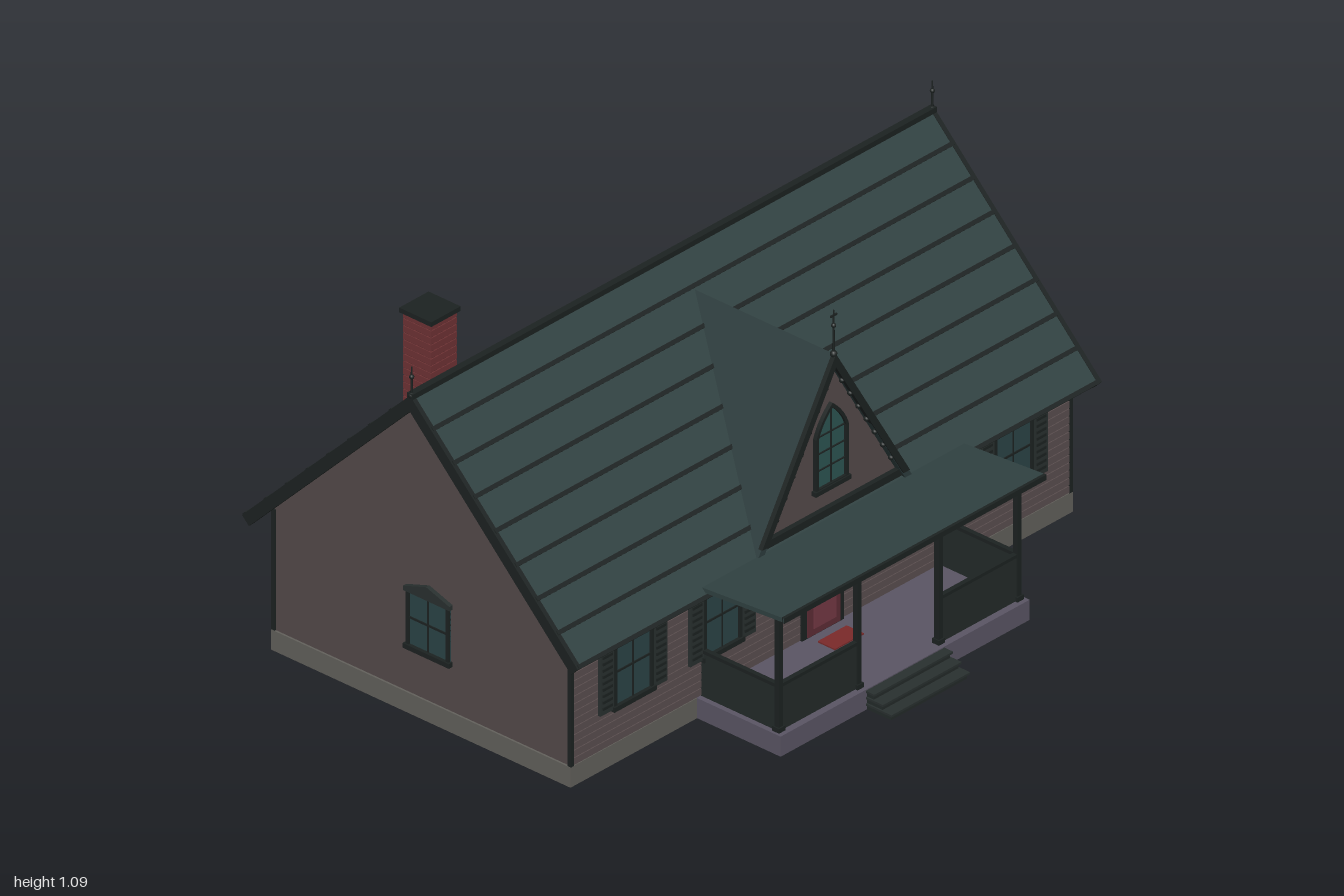
import * as THREE from 'three';

const mat = (color, extra = {}) => new THREE.MeshStandardMaterial({ color, ...extra });
const M = {
  roof: mat(0x304141), dormerRoof: mat(0x2c3c3d), trim: mat(0x1c2221), wall: mat(0x544a4a),
  siding: mat(0x5a4e4f), stone: mat(0x62605b), porch: mat(0x5a5564), glass: mat(0x2b4346),
  gothicGlass: mat(0x2c5452), shutter: mat(0x29302f), door: mat(0x5e2c36), panel: mat(0x743844),
  brick: mat(0x6e3234), mortar: mat(0x4a2426), brass: mat(0x8a7040), rail: mat(0x232a29), mat: mat(0x7a2a2a),
};

function add(parent, name, geometry, material, x = 0, y = 0, z = 0) {
  const m = new THREE.Mesh(geometry, material);
  m.name = name;
  m.position.set(x, y, z);
  parent.add(m);
  return m;
}

// Box given by its min and max on each axis
function box(parent, name, material, x0, x1, y0, y1, z0, z1) {
  return add(parent, name, new THREE.BoxGeometry(x1 - x0, y1 - y0, z1 - z0), material,
    (x0 + x1) / 2, (y0 + y1) / 2, (z0 + z1) / 2);
}

const poly = pts => new THREE.Shape(pts.map(p => new THREE.Vector2(...p)));
const extrude = (shape, depth) =>
  new THREE.ExtrudeGeometry(shape, { depth, bevelEnabled: false, curveSegments: 10 });

function group(parent, name, x = 0, y = 0, z = 0, ry = 0) {
  const g = new THREE.Group();
  g.name = name;
  g.position.set(x, y, z);
  g.rotation.y = ry;
  parent.add(g);
  return g;
}

const RIDGE_Z = -0.16, ROOF_TOP = 0.98;

// Profile drawn in (-z, y), swept along x over [-half, half]
function sweepX(pts, half) {
  return extrude(poly(pts), half * 2).translate(0, 0, -half).rotateY(Math.PI / 2);
}

function roofProfile(drop, reach, thick) {
  const c = -RIDGE_Z, t = ROOF_TOP + drop, k = thick / Math.SQRT2;
  return [[c, t], [c - reach, t - reach], [c - reach + k, t - reach - k], [c, t - 2 * k],
    [c + reach - k, t - reach - k], [c + reach, t - reach]];
}

// Window standing on its sill, facing +z
function addWindow(parent, name, x, y, z, ry, w, h, { shutters = false, hood = false } = {}) {
  const g = group(parent, name, x, y, z, ry), a = w / 2, f = 0.01;
  box(g, 'glass', M.glass, -a, a, 0, h, -0.005, 0.004);
  for (const s of [-1, 1]) {
    box(g, 'jamb', M.trim, s * (a - f / 2) - f / 2, s * (a - f / 2) + f / 2, 0, h, 0, 0.01);
    if (!shutters) continue;
    const sx = s * (a + 0.027);
    box(g, 'shutter', M.shutter, sx - 0.026, sx + 0.026, 0, 0.195, 0, 0.009);
    for (let i = 0; i < 9; i++)
      box(g, 'louvre', M.trim, sx - 0.018, sx + 0.018, 0.015 + i * 0.019, 0.023 + i * 0.019, 0.008, 0.012);
  }
  box(g, 'sill', M.trim, -a - 0.006, a + 0.006, -0.006, 0.008, 0, 0.015);
  box(g, 'head', M.trim, -a, a, h - f, h, 0, 0.011);
  box(g, 'mullion', M.trim, -0.002, 0.002, 0, h, 0, 0.007);
  box(g, 'meetingRail', M.trim, -a, a, h * 0.5 - 0.003, h * 0.5 + 0.003, 0, 0.007);
  if (hood) add(g, 'peakedHood', extrude(poly([[-a - 0.006, h - 0.01], [a + 0.006, h - 0.01],
    [a + 0.006, h + 0.003], [0, h + 0.03], [-a - 0.006, h + 0.003]]), 0.013), M.shutter);
}

function addFinial(parent, x, y, z, h, cross) {
  const g = group(parent, 'finial', x, y, z);
  add(g, 'spike', new THREE.CylinderGeometry(0.002, 0.004, h, 8), M.trim, 0, h / 2, 0);
  add(g, 'base', new THREE.SphereGeometry(0.01, 10, 8), M.trim);
  add(g, 'knob', new THREE.SphereGeometry(0.007, 10, 8), M.trim, 0, h * 0.65, 0);
  if (cross) box(g, 'crossbar', M.trim, -0.012, 0.012, h * 0.86, h * 0.9, -0.002, 0.002);
}

function addHouse(root) {
  const g = group(root, 'house');
  box(g, 'foundation', M.stone, -0.958, 0.958, 0, 0.06, -0.683, 0.363);
  add(g, 'walls', sweepX([[-0.36, 0.06], [0.68, 0.06], [0.68, 0.435], [0.16, 0.95], [-0.36, 0.435]], 0.952), M.wall);
  // Front clapboards
  for (let i = 0; i < 15; i++) {
    const y = 0.062 + i * 0.023;
    box(g, 'clapboard', M.siding, -0.945, 0.945, y, y + 0.02, 0.355, 0.363);
  }
  for (const x of [-0.951, 0.951]) for (const z of [-0.678, 0.358])
    box(g, 'cornerBoard', M.trim, x - 0.006, x + 0.006, 0.06, 0.42, z - 0.006, z + 0.006);
  // Roof with shingle courses
  add(g, 'roof', sweepX(roofProfile(0, 0.585, 0.025), 0.995), M.roof);
  for (const side of [-1, 1]) {
    for (let i = 1; i <= 8; i++) {
      const d = i * 0.0728;
      const c = add(g, 'shingleCourse', new THREE.BoxGeometry(1.99, 0.008, 0.012), M.trim,
        0, ROOF_TOP - d, RIDGE_Z + side * d);
      c.rotation.x = side * Math.PI / 4;
    }
    // Rake boards and ridge finials
    add(g, 'rakeBoard', sweepX(roofProfile(0.002, 0.587, 0.034), 0.007), M.trim, side * 0.993, 0, 0);
    addFinial(g, side * 0.993, 0.98, RIDGE_Z, 0.085, false);
  }
  box(g, 'ridgeCap', M.trim, -1, 1, 0.972, 0.988, RIDGE_Z - 0.01, RIDGE_Z + 0.01);
  // Windows
  for (const s of [-1, 1]) {
    addWindow(g, 'frontWindow', s * 0.725, 0.17, 0.363, 0, 0.15, 0.21, { shutters: true });
    addWindow(g, 'porchWindow', s * 0.385, 0.17, 0.363, 0, 0.145, 0.21, { shutters: true });
  }
  addWindow(g, 'leftGableWindow', 0.952, 0.17, -0.135, Math.PI / 2, 0.178, 0.205, { hood: true });
  addWindow(g, 'rightGableWindow', -0.952, 0.2, -0.135, -Math.PI / 2, 0.15, 0.175, { hood: true });
  addWindow(g, 'backWindow', 0.57, 0.17, -0.68, Math.PI, 0.17, 0.2, { hood: true });
}

function addChimney(root) {
  const g = group(root, 'chimney', -0.762, 0, -0.308);
  box(g, 'mortarCore', M.mortar, -0.046, 0.046, 0.7, 1.075, -0.046, 0.046);
  for (let r = 0; r < 17; r++) {
    const y = 0.72 + r * 0.021;
    box(g, 'brickCourse', M.brick, -0.049, 0.049, y, y + 0.018, -0.049, 0.049);
  }
  box(g, 'cap', M.trim, -0.056, 0.056, 1.072, 1.086, -0.056, 0.056);
}

function addDormer(root) {
  const g = group(root, 'dormer');
  // Roof slabs, their back ends cut to lie on the main slope
  const roof = extrude(poly([[0, 0.9], [-0.3, 0.405], [-0.275, 0.405], [0, 0.865], [0.275, 0.405], [0.3, 0.405]]), 0.1);
  const p = roof.attributes.position;
  for (let i = 0; i < p.count; i++) p.setZ(i, p.getZ(i) > 0.05 ? 0.41 : 0.815 - p.getY(i));
  roof.computeVertexNormals();
  add(g, 'dormerRoof', roof, M.dormerRoof);
  add(g, 'gableWall', extrude(poly([[-0.27, 0.42], [0.27, 0.42], [0, 0.87]]), 0.03), M.wall, 0, 0, 0.36);
  add(g, 'bargeBoard', extrude(poly([[0, 0.902], [-0.282, 0.436], [-0.258, 0.436], [0, 0.862],
    [0.258, 0.436], [0.282, 0.436]]), 0.014), M.trim, 0, 0, 0.4);
  box(g, 'baseTrim', M.trim, -0.27, 0.27, 0.425, 0.447, 0.385, 0.405);
  // Ornamental drops along the rakes
  for (const s of [-1, 1]) for (let i = 1; i <= 7; i++) {
    const t = i / 8;
    add(g, 'drop', new THREE.SphereGeometry(0.008, 8, 6), M.trim, s * 0.25 * t, 0.86 - 0.415 * t, 0.405);
  }
  // Pointed window
  const arch = (a, y0, y1, y2) => {
    const s = new THREE.Shape();
    s.moveTo(-a, y0); s.lineTo(a, y0); s.lineTo(a, y1);
    s.quadraticCurveTo(a * 0.75, y1 + (y2 - y1) * 0.55, 0, y2);
    s.quadraticCurveTo(-a * 0.75, y1 + (y2 - y1) * 0.55, -a, y1);
    return s;
  };
  const frame = arch(0.062, 0.505, 0.665, 0.752);
  frame.holes.push(arch(0.052, 0.515, 0.665, 0.738));
  add(g, 'windowFrame', extrude(frame, 0.012), M.trim, 0, 0, 0.39);
  add(g, 'windowGlass', extrude(arch(0.055, 0.51, 0.665, 0.742), 0.005), M.gothicGlass, 0, 0, 0.389);
  box(g, 'mullion', M.trim, -0.002, 0.002, 0.51, 0.74, 0.39, 0.398);
  for (const y of [0.565, 0.615, 0.665]) box(g, 'glazingBar', M.trim, -0.055, 0.055, y, y + 0.003, 0.39, 0.398);
  box(g, 'windowSill', M.trim, -0.068, 0.068, 0.499, 0.512, 0.388, 0.406);
  addFinial(g, 0, 0.9, 0.405, 0.13, true);
}

function addPorch(root) {
  const g = group(root, 'porch');
  box(g, 'deck', M.porch, -0.475, 0.475, 0, 0.06, 0.36, 0.655);
  for (let i = 0; i < 3; i++) {
    const z = 0.745 - i * 0.03, y = (i + 1) * 0.019;
    box(g, 'stepRiser', M.rail, -0.145, 0.145, 0, y - 0.005, 0.65, z - 0.006);
    box(g, 'stepTread', M.shutter, -0.15, 0.15, y - 0.006, y, 0.65, z);
  }
  for (const s of [-1, 1]) {
    for (const x of [0.155, 0.455]) {
      box(g, 'post', M.trim, s * x - 0.008, s * x + 0.008, 0.06, 0.42, 0.622, 0.638);
      box(g, 'postCap', M.trim, s * x - 0.013, s * x + 0.013, 0.4, 0.414, 0.617, 0.643);
      box(g, 'postBase', M.trim, s * x - 0.012, s * x + 0.012, 0.06, 0.074, 0.618, 0.642);
    }
    // Solid railing panels with handrails
    const fx = s * 0.305, sx = s * 0.455;
    box(g, 'frontPanel', M.rail, fx - 0.15, fx + 0.15, 0.06, 0.192, 0.626, 0.634);
    box(g, 'frontHandrail', M.trim, fx - 0.15, fx + 0.15, 0.19, 0.2, 0.623, 0.637);
    box(g, 'sidePanel', M.rail, sx - 0.004, sx + 0.004, 0.06, 0.192, 0.36, 0.63);
    box(g, 'sideHandrail', M.trim, sx - 0.007, sx + 0.007, 0.19, 0.2, 0.36, 0.63);
  }
  const roof = add(g, 'porchRoof', new THREE.BoxGeometry(1, 0.013, 0.29), M.roof, 0, 0.42, 0.545);
  roof.rotation.x = -0.07;
  box(g, 'fascia', M.trim, -0.5, 0.5, 0.421, 0.437, 0.682, 0.691);
  box(g, 'doormat', M.mat, -0.055, 0.055, 0.06, 0.064, 0.4, 0.46);
}

function addEntrance(root) {
  const g = group(root, 'entrance');
  box(g, 'doorFrame', M.trim, -0.08, 0.08, 0.06, 0.385, 0.36, 0.368);
  box(g, 'door', M.door, -0.062, 0.062, 0.065, 0.365, 0.36, 0.373);
  for (const [y0, y1] of [[0.085, 0.15], [0.165, 0.235], [0.25, 0.345]])
    box(g, 'doorPanel', M.panel, -0.042, 0.042, y0, y1, 0.37, 0.376);
  add(g, 'doorknob', new THREE.SphereGeometry(0.006, 10, 8), M.brass, 0.052, 0.2, 0.379);
  box(g, 'plaque', M.brass, 0.105, 0.135, 0.295, 0.311, 0.36, 0.367);
  // Lantern
  const l = group(g, 'lantern', -0.118, 0.333, 0.382);
  add(l, 'lamp', new THREE.CylinderGeometry(0.01, 0.006, 0.036, 6), M.brass, 0, -0.006, 0);
  add(l, 'lampCap', new THREE.ConeGeometry(0.014, 0.018, 6), M.trim, 0, 0.02, 0);
  box(l, 'bracket', M.trim, -0.003, 0.003, 0.01, 0.016, -0.022, 0);
}

export function createModel() {
  const root = new THREE.Group();
  root.name = 'cottage';
  addHouse(root);
  addChimney(root);
  addDormer(root);
  addPorch(root);
  addEntrance(root);
  return root;
}
